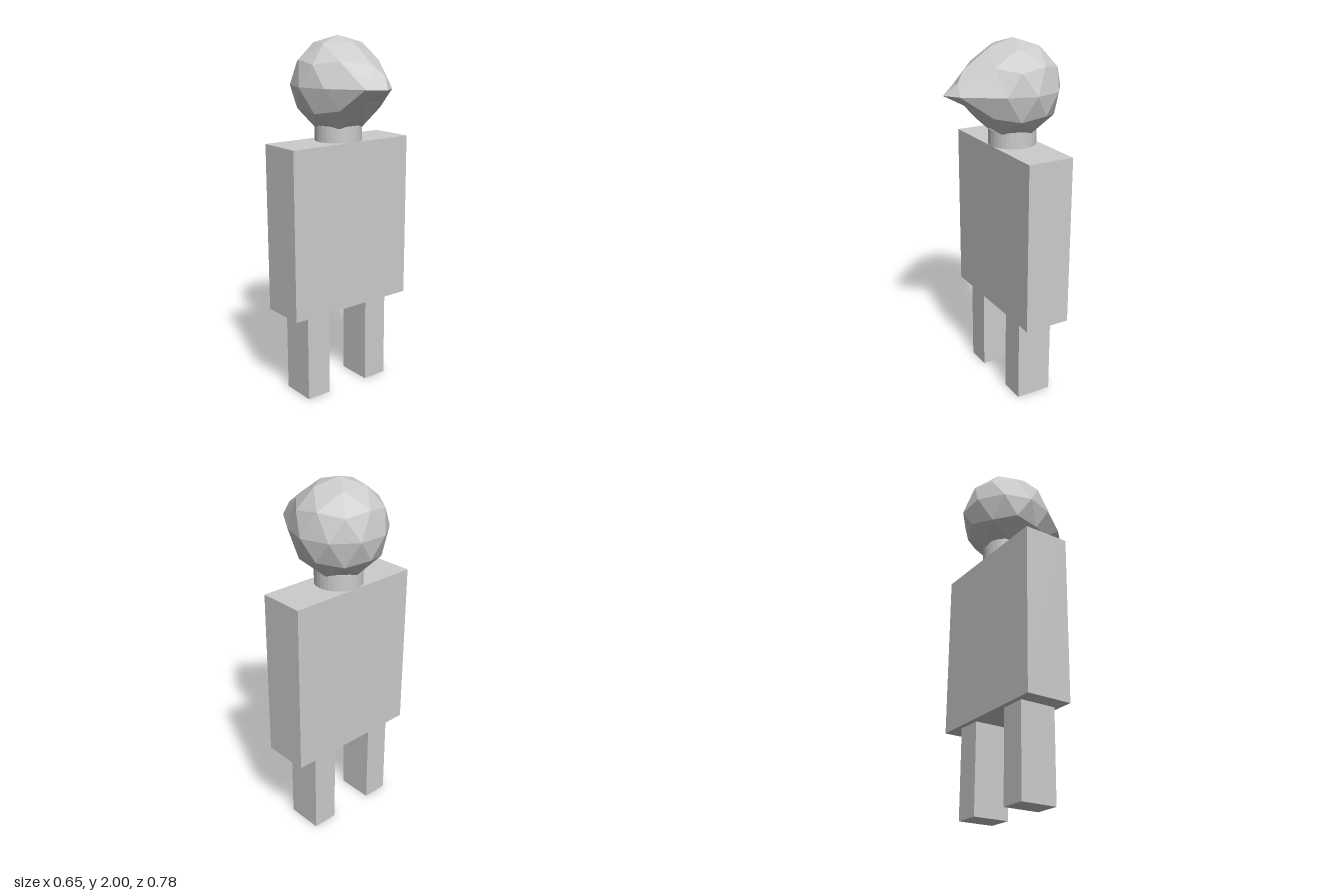
import * as THREE from 'three';

const material = new THREE.MeshStandardMaterial({ color: 0xcccccc, flatShading: true });
const CENTER = -0.08; // x of the body axis

function addMesh(group, name, geometry, x, y, z) {
  const mesh = new THREE.Mesh(geometry, material);
  mesh.name = name;
  mesh.position.set(x, y, z);
  group.add(mesh);
}

// Faceted ball with a few front vertices pulled out into a beak
function headGeometry() {
  const R = 0.26;
  const ball = new THREE.IcosahedronGeometry(R, 1);
  ball.rotateZ(-Math.atan(2 / (1 + Math.sqrt(5)))); // one vertex at the top
  const V = (x, y, z) => new THREE.Vector3(x, y, z);

  // Beak corners: place on the ball, and where it is pulled to
  const corners = [
    { id: 'brow', from: V(0.894, 0.447, 0), to: V(0.29, 0.117, 0) },
    { id: 'left', from: V(0.951, 0, 0.309), to: V(0.328, 0, 0.08) },
    { id: 'right', from: V(0.951, 0, -0.309), to: V(0.348, 0, -0.08) },
    { id: 'chin', from: V(0.851, -0.526, 0), to: V(0.221, -0.137, 0) },
  ];
  // Extra vertices on the beak edges
  const splits = {
    'brow-left': V(0.328, 0.045, 0.04),
    'brow-right': V(0.34, 0.062, -0.04),
    'left-right': V(0.405, 0, 0),
    'chin-left': V(0.275, -0.066, 0.04),
    'chin-right': V(0.283, -0.066, -0.04),
  };

  const out = [];
  const tri = (...points) => points.forEach((p) => out.push(p.x, p.y, p.z));
  const pos = ball.attributes.position;
  for (let i = 0; i < pos.count; i += 3) {
    const ids = [];
    const p = [0, 1, 2].map((k) => {
      const v = V().fromBufferAttribute(pos, i + k);
      const c = corners.find((e) => e.from.distanceTo(v.clone().divideScalar(R)) < 0.05);
      ids.push(c ? c.id : '');
      return c ? c.to : v;
    });
    const mid = [0, 1, 2].map((k) => splits[[ids[k], ids[(k + 1) % 3]].sort().join('-')]);
    if (mid.every(Boolean)) {
      tri(p[0], mid[0], mid[2]);
      tri(mid[0], p[1], mid[1]);
      tri(mid[2], mid[1], p[2]);
      tri(mid[0], mid[1], mid[2]);
      continue;
    }
    const k = mid.findIndex(Boolean);
    if (k < 0) {
      tri(...p);
    } else {
      tri(p[k], mid[k], p[(k + 2) % 3]);
      tri(mid[k], p[(k + 1) % 3], p[(k + 2) % 3]);
    }
  }
  const geometry = new THREE.BufferGeometry();
  geometry.setAttribute('position', new THREE.Float32BufferAttribute(out, 3));
  geometry.computeVertexNormals();
  return geometry;
}

export function createModel() {
  const group = new THREE.Group();
  group.name = 'birdHeadedFigure';

  addMesh(group, 'head', headGeometry(), CENTER, 1.74, 0);
  addMesh(group, 'neck', new THREE.CylinderGeometry(0.13, 0.13, 0.09, 32), CENTER, 1.483, 0);
  addMesh(group, 'body', new THREE.BoxGeometry(0.26, 0.94, 0.78), CENTER, 0.97, 0);

  // Legs, set slightly off the middle
  addMesh(group, 'leftLeg', new THREE.BoxGeometry(0.205, 0.505, 0.147), CENTER, 0.2525, 0.222);
  addMesh(group, 'rightLeg', new THREE.BoxGeometry(0.205, 0.505, 0.147), CENTER, 0.2525, -0.189);
  return group;
}
